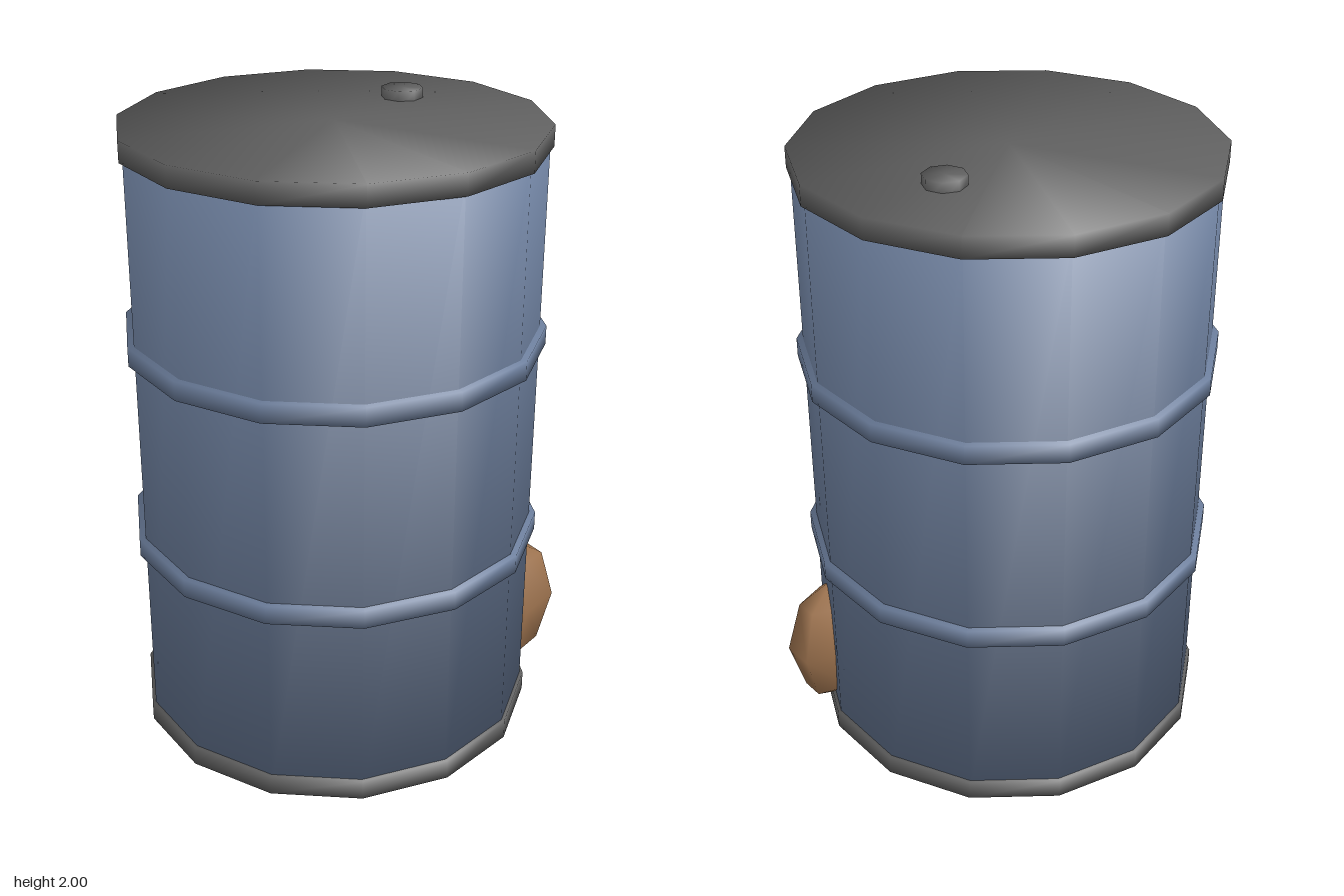
import * as THREE from 'three';

const mat = (name, color) => {
  const m = new THREE.MeshStandardMaterial({ color });
  m.name = name;
  return m;
};

// Closed cylinder between two heights, with normals softened across the cap edges
function softCylinder(radius, y0, y1, sides) {
  const geo = new THREE.CylinderGeometry(radius, radius, y1 - y0, sides);
  const pos = geo.attributes.position;
  const normal = geo.attributes.normal;
  for (let i = 0; i < pos.count; i++) {
    normal.setXYZ(i, pos.getX(i) / radius * Math.SQRT1_2,
      Math.sign(pos.getY(i)) * Math.SQRT1_2, pos.getZ(i) / radius * Math.SQRT1_2);
  }
  geo.translate(0, (y0 + y1) / 2, 0);
  return geo;
}

export function createModel() {
  const blue = mat('blue paint', 0x6b7d9b);
  const grey = mat('dark grey metal', 0x606060);
  const brown = mat('rust brown', 0xa07550);

  const model = new THREE.Group();
  model.name = 'barrel';
  const add = (name, geo, material, x = 0, z = 0) => {
    const mesh = new THREE.Mesh(geo, material);
    mesh.name = name;
    mesh.position.set(x, 0, z);
    model.add(mesh);
  };

  const axisX = -0.03;
  const sides = 14;

  // Drum body and its two raised hoops
  add('body', softCylinder(0.634, 0.02, 1.95, sides), blue, axisX);
  add('lowerHoop', softCylinder(0.654, 0.63, 0.69, sides), blue, axisX);
  add('upperHoop', softCylinder(0.654, 1.283, 1.343, sides), blue, axisX);

  // Base and lid
  add('base', softCylinder(0.645, 0, 0.065, sides), grey, axisX);
  add('lid', softCylinder(0.645, 1.905, 1.97, sides), grey, axisX);

  // Filler cap on the lid
  add('fillerCap', softCylinder(0.065, 1.94, 2, 8), grey, 0.297, -0.113);

  // Rust patch: a stretched six-sided blob sunk into the side
  const patch = new THREE.SphereGeometry(1, 6, 4);
  patch.rotateY(Math.PI / 6);
  patch.scale(0.18, 0.24, 0.105);
  patch.translate(0, 0.27, 0);
  add('rustPatch', patch, brown, 0.51, 0.26);

  return model;
}
